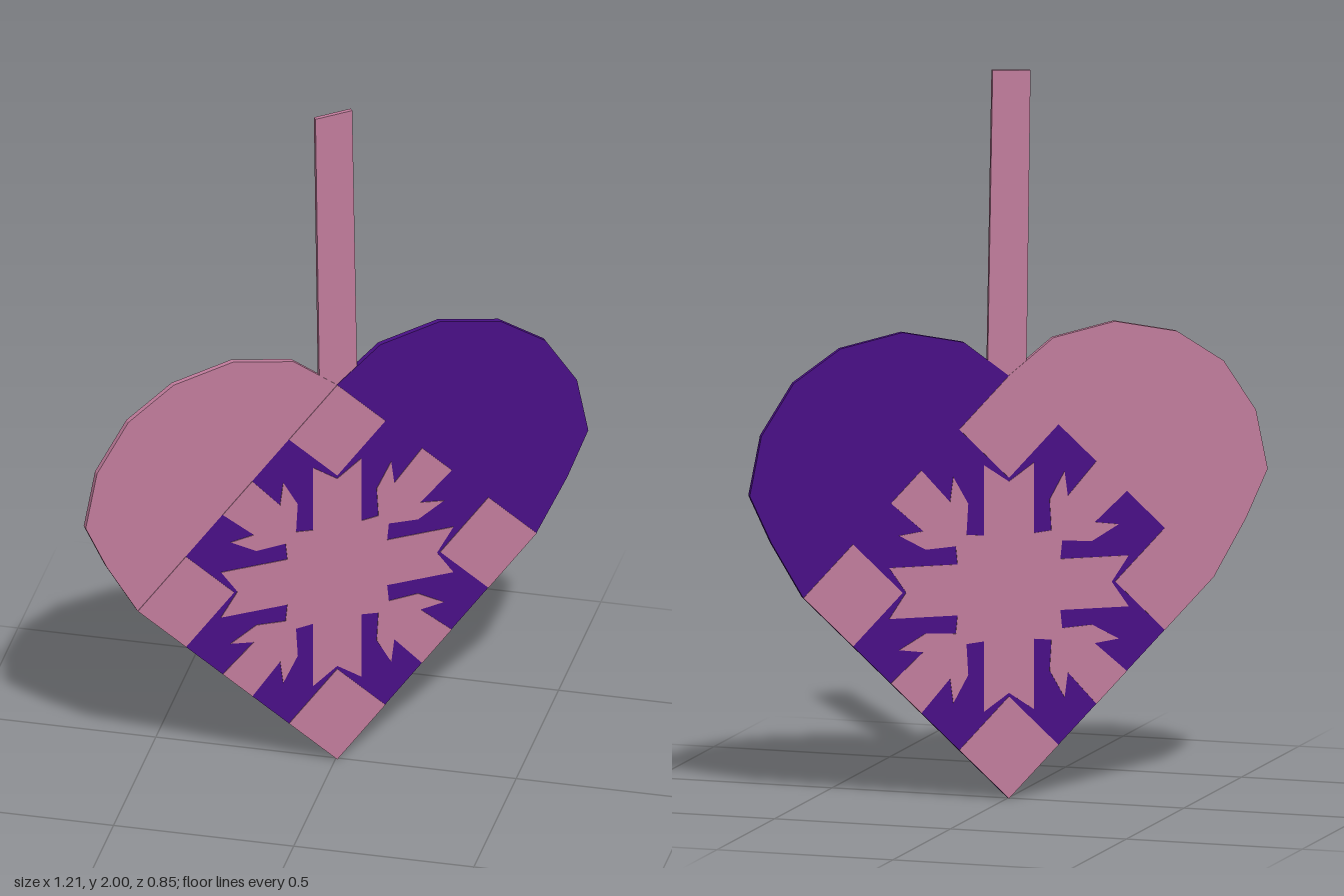
import * as THREE from 'three';

const PINK = new THREE.MeshStandardMaterial({ color: 0xc27d9d, flatShading: true });
const PURPLE = new THREE.MeshStandardMaterial({ color: 0x4a1087, flatShading: true });
const HALF = 0.58; // half diagonal of the woven square, also its centre height

// Flat plate of the given outline, centred on z = 0
function plate(name, points, thickness, material) {
  const shape = new THREE.Shape(points.map(([x, y]) => new THREE.Vector2(x, y)));
  const geometry = new THREE.ExtrudeGeometry(shape, { depth: thickness, bevelEnabled: false });
  geometry.translate(0, 0, -thickness / 2);
  const mesh = new THREE.Mesh(geometry, material);
  mesh.name = name;
  return mesh;
}

function diamond(cx, cy, r) {
  return [[cx, cy - r], [cx + r, cy], [cx, cy + r], [cx - r, cy]];
}

// Outline of the snowflake: one eighth, mirrored, then turned four times
function snowflakeOutline() {
  const eighth = [[0, 0.29], [0.07, 0.338], [0.07, 0.145], [0.12, 0.15],
    [0.115, 0.235], [0.157, 0.31], [0.166, 0.242], [0.247, 0.333]];
  const quarter = [...eighth, ...eighth.slice(1).reverse().map(([x, y]) => [y, x])];
  const outline = [];
  for (let i = 0; i < 4; i++) {
    for (const [x, y] of quarter) {
      const [px, py] = [[x, y], [y, -x], [-x, -y], [-y, x]][i];
      outline.push([px, py + HALF]);
    }
  }
  return outline;
}

export function createModel() {
  const model = new THREE.Group();
  model.name = 'wovenHeart';

  // Rounded lobes above the woven square
  const lobe = [[HALF, HALF], [0.67, 0.735], [0.731, 0.867], [0.698, 1.03], [0.607, 1.17],
    [0.475, 1.258], [0.3, 1.294], [0.126, 1.258], [0, 1.16]];
  model.add(plate('leftLobe', lobe, 0.015, PURPLE));
  model.add(plate('rightLobe', lobe.map(([x, y]) => [-x, y]), 0.015, PINK));

  // Woven square with the snowflake showing on both faces
  model.add(plate('wovenBase', diamond(0, HALF, HALF), 0.015, PURPLE));
  model.add(plate('snowflake', snowflakeOutline(), 0.019, PINK));

  // Corner diamonds of the weave
  const r = 0.14;
  for (const [x, y] of [[0, 1], [1, 0], [0, -1], [-1, 0]]) {
    const d = HALF - r;
    model.add(plate('cornerDiamond', diamond(x * d, HALF + y * d, r), 0.019, PINK));
  }

  // Hanging strap, leaning slightly
  model.add(plate('strap', [[-0.05, 1.14], [0.06, 1.14], [0.045, 2], [-0.062, 1.995]], 0.012, PINK));

  // The whole heart is turned about the vertical
  model.rotation.y = Math.atan2(0.42, 0.6);
  const root = new THREE.Group();
  root.name = 'heartOrnament';
  root.add(model);
  return root;
}
